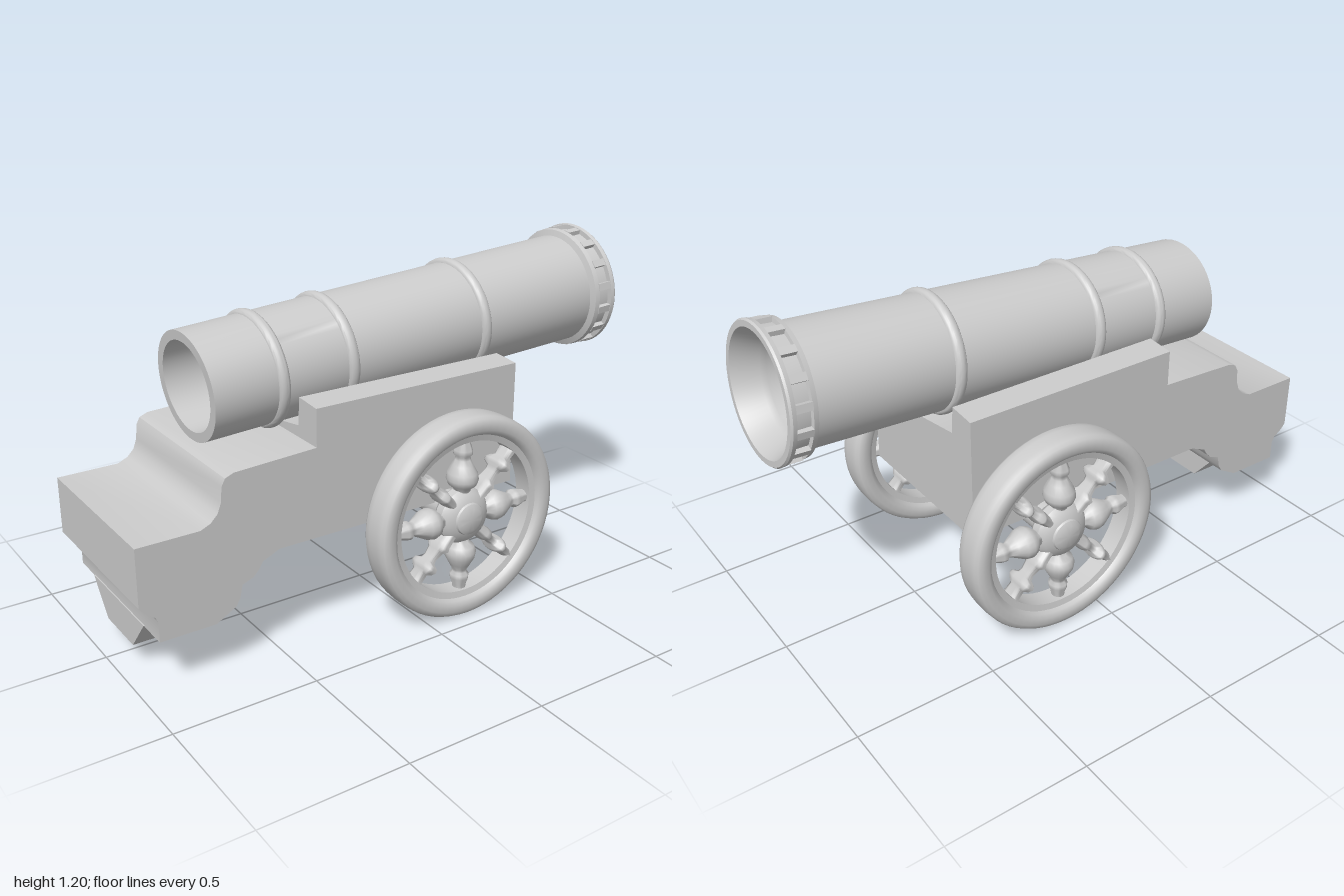
import * as THREE from 'three';
import { toCreasedNormals, mergeGeometries } from 'three/addons/utils/BufferGeometryUtils.js';

const material = new THREE.MeshStandardMaterial({ color: 0xcccccc });
const vecs = (pts) => pts.map(([x, y]) => new THREE.Vector2(x, y));

function add(parent, name, geometry) {
  const mesh = new THREE.Mesh(geometry, material);
  mesh.name = name;
  parent.add(mesh);
  return mesh;
}

// Turned part about y; points are [radius, height], running upward on the outside
function turned(pts, segments, crease = 0.6) {
  return toCreasedNormals(new THREE.LatheGeometry(vecs(pts), segments), crease);
}

// Prism along z, centred
function prism(pts, depth) {
  const geo = new THREE.ExtrudeGeometry(new THREE.Shape(vecs(pts)), { depth, bevelEnabled: false });
  return toCreasedNormals(geo.translate(0, 0, -depth / 2), 0.6);
}

// Lies along x; the breech is slightly flattened in height
function layAlongX(geo) {
  geo.rotateZ(-Math.PI / 2);
  const p = geo.attributes.position;
  for (let i = 0; i < p.count; i++) {
    const t = Math.min(1, (p.getX(i) + 0.825) / 1.53);
    p.setY(i, p.getY(i) * (0.915 + 0.085 * t));
  }
  return geo;
}

function makeBarrel() {
  const barrel = new THREE.Group();
  barrel.name = 'barrel';

  // Open tube with raised rings and flared mouth
  const outer = [[0.2, -0.825]];
  for (const s of [-0.58, -0.317, 0.235]) {
    for (let i = 0; i <= 8; i++) {
      const a = (i / 8) * Math.PI;
      outer.push([0.2 + 0.015 * Math.sin(a), s - 0.02 * Math.cos(a)]);
    }
  }
  add(barrel, 'barrelTube', layAlongX(turned([
    [0.165, -0.825], ...outer,
    [0.2, 0.725], [0.221, 0.733], [0.224, 0.75], [0.209, 0.752],
    [0.211, 0.802], [0.228, 0.804], [0.23, 0.818], [0.225, 0.825],
    [0.205, 0.825], [0.168, 0.74], [0.165, 0.72], [0.165, -0.825],
  ], 64)));

  // Bars dividing the muzzle band into pockets
  const bars = [];
  for (let i = 0; i < 16; i++) {
    bars.push(new THREE.BoxGeometry(0.056, 0.02, 0.026)
      .translate(0.777, 0.216, 0).rotateX(((i + 0.5) / 16) * Math.PI * 2));
  }
  add(barrel, 'muzzleBars', mergeGeometries(bars));

  barrel.position.set(0.1625, 0.924, 0);
  barrel.rotation.z = 0.06;
  return barrel;
}

function makeCarriage() {
  const carriage = new THREE.Group();
  carriage.name = 'carriage';

  // Stepped body with moulded tail
  add(carriage, 'carriageBody', prism([
    [-1, 0.53], [-1, 0.33], [-0.985, 0.31], [-0.95, 0.285], [-0.94, 0.265], [-0.94, 0.195],
    [-0.745, 0.195], [-0.72, 0.21], [-0.675, 0.235], [-0.66, 0.26], [-0.65, 0.305],
    [-0.61, 0.32], [-0.59, 0.34], [-0.575, 0.365], [-0.54, 0.38], [-0.515, 0.392],
    [0.44, 0.392], [0.44, 0.705], [-0.37, 0.705], [-0.665, 0.692], [-0.695, 0.68], [-0.708, 0.655],
    [-0.712, 0.605], [-0.725, 0.57], [-0.75, 0.545], [-0.785, 0.53],
  ], 0.62));

  // Cheeks with the cradle between them
  add(carriage, 'cheeks', prism([
    [-0.31, 0.7], [0.31, 0.7], [0.31, 0.835], [0.208, 0.843], [0.2, 0.745],
    [0, 0.712], [-0.2, 0.745], [-0.208, 0.843], [-0.31, 0.835],
  ], 0.81).rotateY(Math.PI / 2).translate(0.035, 0, 0));

  // Tapered foot under the tail
  add(carriage, 'foot', prism([[-0.2, 0.2], [-0.1, 0.08], [0.1, 0.08], [0.2, 0.2]], 0.2)
    .rotateY(Math.PI / 2).translate(-0.844, 0, 0));

  add(carriage, 'axle', new THREE.CylinderGeometry(0.058, 0.058, 0.76, 32)
    .rotateX(Math.PI / 2).translate(0.155, 0.372, 0));
  return carriage;
}

function makeWheel() {
  const wheel = new THREE.Group();
  wheel.name = 'wheel';

  // Rim with rounded tread and a stepped inner edge
  add(wheel, 'rim', turned([
    [0.276, -0.035], [0.298, -0.04], [0.305, -0.052], [0.318, -0.06], [0.342, -0.06],
    [0.357, -0.054], [0.364, -0.042], [0.366, -0.02], [0.366, 0.02], [0.364, 0.042],
    [0.357, 0.054], [0.342, 0.06], [0.318, 0.06], [0.305, 0.052], [0.298, 0.04],
    [0.276, 0.035], [0.276, -0.035],
  ], 64, 0.8).rotateX(Math.PI / 2));

  // Rounded hub with a cap on each face
  add(wheel, 'hub', turned([
    [0, -0.062], [0.04, -0.06], [0.055, -0.052], [0.058, -0.045], [0.085, -0.035], [0.1, -0.015],
    [0.1, 0.015], [0.085, 0.035], [0.058, 0.045], [0.055, 0.052], [0.04, 0.06], [0, 0.062],
  ], 32).rotateX(Math.PI / 2));

  // Alternating broad and slender turned spokes
  const broad = [
    [0.025, 0.08], [0.03, 0.1], [0.047, 0.115], [0.054, 0.135], [0.05, 0.158], [0.036, 0.185],
    [0.026, 0.205], [0.024, 0.215], [0.032, 0.225], [0.031, 0.24], [0.023, 0.265], [0.022, 0.29],
  ];
  const slender = [
    [0.02, 0.08], [0.022, 0.12], [0.025, 0.135], [0.017, 0.15], [0.014, 0.18], [0.016, 0.195],
    [0.027, 0.205], [0.029, 0.217], [0.024, 0.23], [0.016, 0.24], [0.018, 0.29],
  ];
  for (let i = 0; i < 8; i++) {
    const wide = i % 2 === 0;
    const geo = turned(wide ? broad : slender, 20, 1.2);
    geo.scale(1, 1, wide ? 1.1 : 2.1).rotateZ((i * Math.PI) / 4);
    add(wheel, wide ? 'broadSpoke' : 'slenderSpoke', geo);
  }
  return wheel;
}

export function createModel() {
  const model = new THREE.Group();
  model.name = 'cannon';
  model.add(makeBarrel(), makeCarriage());
  for (const side of [1, -1]) {
    const wheel = makeWheel();
    wheel.name = side > 0 ? 'frontSideWheel' : 'backSideWheel';
    wheel.position.set(0.155, 0.367, side * 0.39);
    model.add(wheel);
  }
  return model;
}
